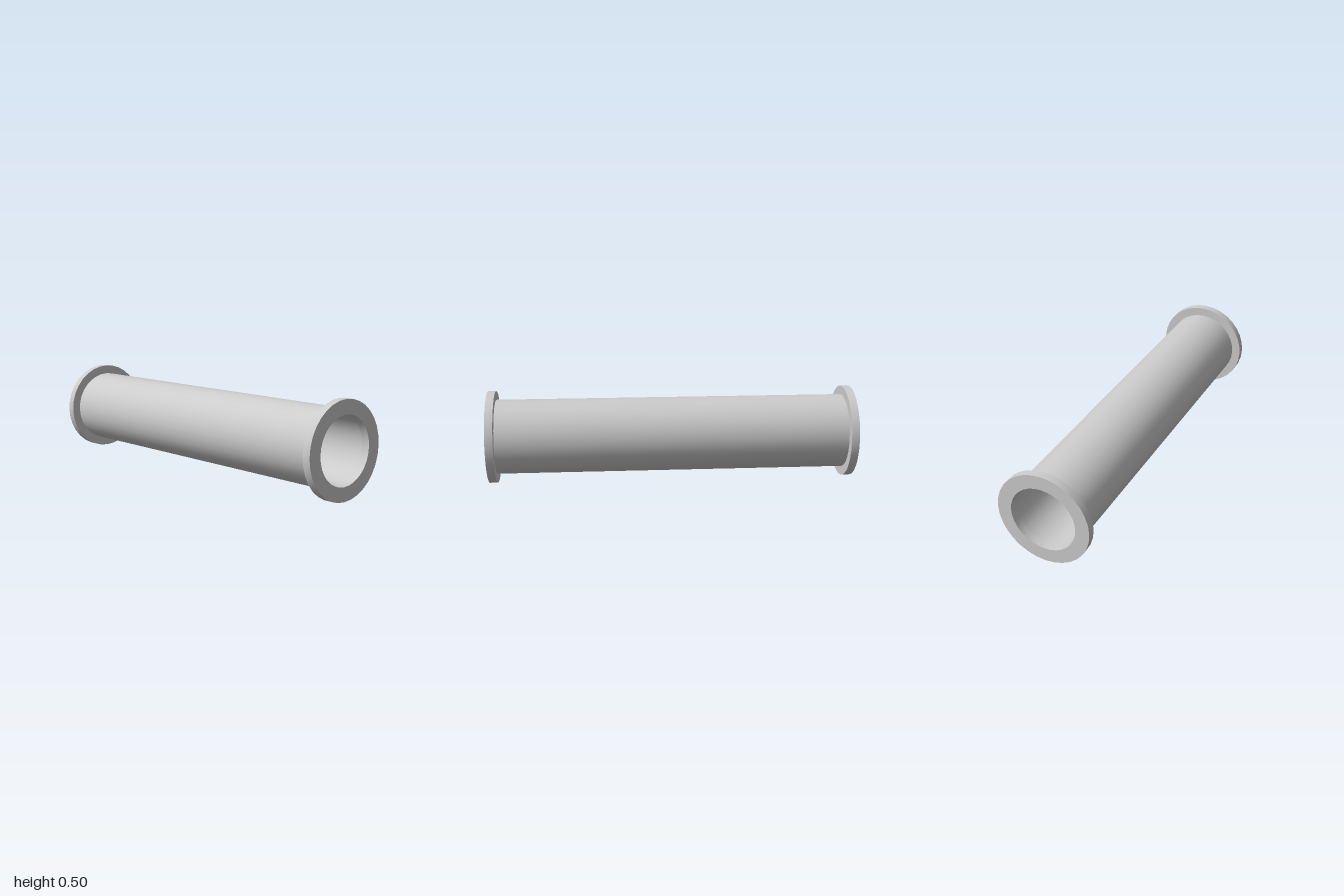
import * as THREE from 'three';
import { toCreasedNormals } from 'three/addons/utils/BufferGeometryUtils.js';

const SIDES = 32;
const BORE = 0.177, PIPE = 0.203, FLANGE = 0.252;
const HALF = 1, FLANGE_WIDTH = 0.043;

export function createModel() {
  const model = new THREE.Group();
  model.name = 'flangedPipe';
  const material = new THREE.MeshStandardMaterial({ color: 0xcccccc });

  // Revolves [radius, x] points around the x axis, keeping corners sharp
  function addTurned(name, points) {
    const profile = points.map(([r, x]) => new THREE.Vector2(r, x));
    const geometry = new THREE.LatheGeometry(profile, SIDES).rotateZ(-Math.PI / 2);
    const mesh = new THREE.Mesh(toCreasedNormals(geometry, Math.PI / 6), material);
    mesh.name = name;
    mesh.position.y = FLANGE;
    model.add(mesh);
  }

  const inner = HALF - FLANGE_WIDTH;

  // Pipe: outer wall and bore, its ends meeting the flanges
  addTurned('pipeOuterWall', [[PIPE, -inner], [PIPE, inner]]);
  addTurned('pipeBore', [[BORE, inner], [BORE, -inner]]);

  // Flange ring at each end
  for (const [name, a, b] of [['leftFlange', inner, HALF], ['rightFlange', -HALF, -inner]]) {
    addTurned(name, [[BORE, a], [FLANGE, a], [FLANGE, b], [BORE, b], [BORE, a]]);
  }

  // Thin partition closing the bore halfway along
  addTurned('partition', [[0, -0.01], [BORE, -0.01], [BORE, 0.01], [0, 0.01]]);

  return model;
}
